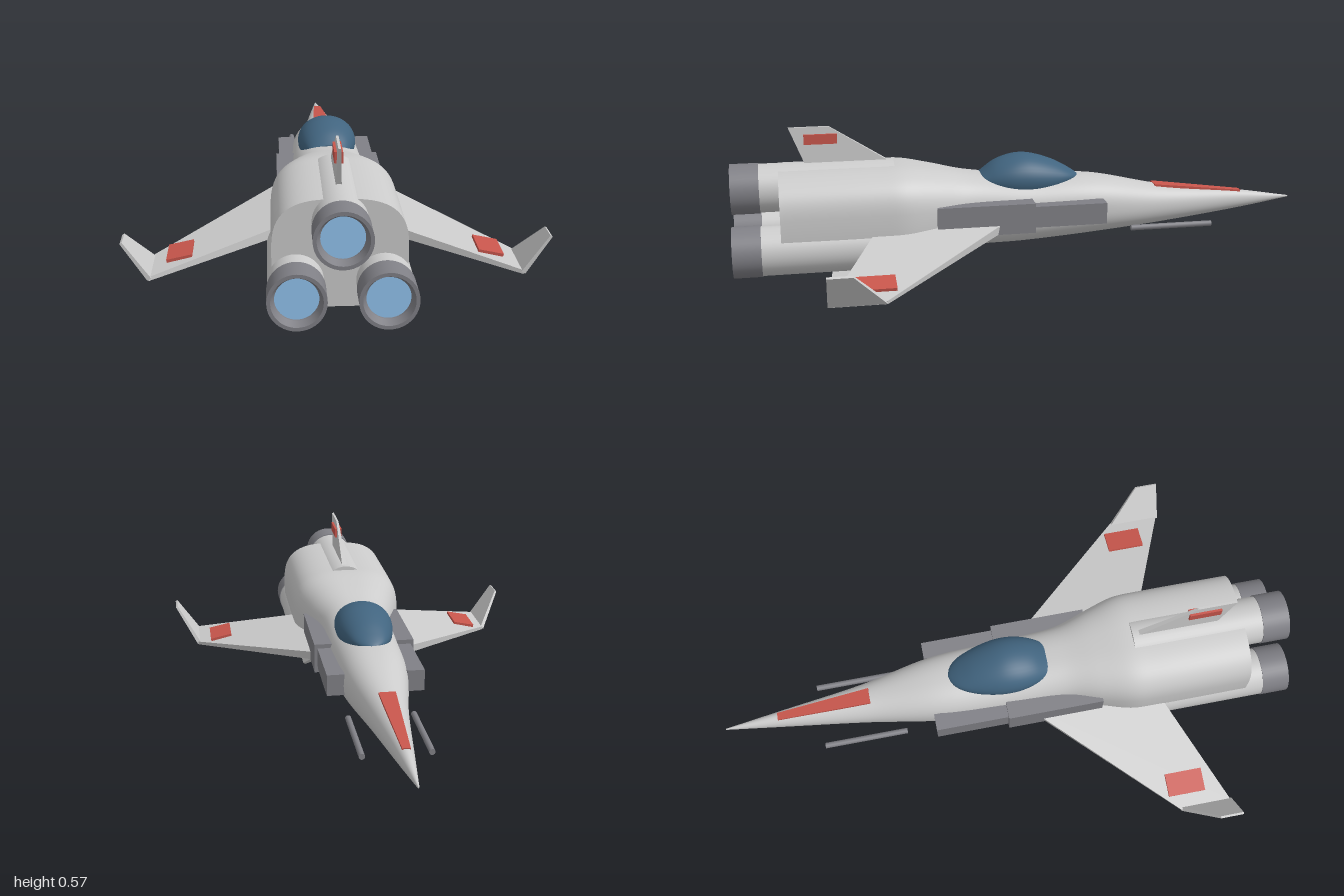
import * as THREE from 'three';
import { ConvexGeometry } from 'three/addons/geometries/ConvexGeometry.js';

const mat = (color) => new THREE.MeshStandardMaterial({ color });
const grey = mat(0xcccccc), dark = mat(0x808086), red = mat(0xc8564c);
const glass = mat(0x41647f), glow = mat(0x92c4f0);

// Loft through sections [z, halfWidth, bottom, top, exponent], nose to tail, smoothed along z
function loft(sections, steps, sides) {
  const curves = [1, 2, 3, 4].map((k) => (z) => {
    let i = 0;
    while (i < sections.length - 2 && z > sections[i + 1][0]) i++;
    const a = sections[i], b = sections[i + 1];
    const slope = (n) => {
      const p = sections[Math.max(n - 1, 0)], q = sections[Math.min(n + 1, sections.length - 1)];
      return (q[k] - p[k]) / (q[0] - p[0]);
    };
    const h = b[0] - a[0], t = (z - a[0]) / h, t2 = t * t, t3 = t2 * t;
    return a[k] * (2 * t3 - 3 * t2 + 1) + slope(i) * h * (t3 - 2 * t2 + t)
      + b[k] * (3 * t2 - 2 * t3) + slope(i + 1) * h * (t3 - t2);
  });
  const pos = [], index = [];
  const z0 = sections[0][0], z1 = sections[sections.length - 1][0];
  const ring = (z) => {
    const [w, lo, hi, n] = curves.map((f) => f(z));
    for (let j = 0; j < sides; j++) {
      const a = (j / sides) * Math.PI * 2, c = Math.cos(a), s = Math.sin(a);
      pos.push(w * Math.sign(c) * Math.abs(c) ** (2 / n),
        (lo + hi) / 2 + ((hi - lo) / 2) * Math.sign(s) * Math.abs(s) ** (2 / n), z);
    }
  };
  for (let i = 0; i <= steps; i++) ring(z0 + ((z1 - z0) * i) / steps);
  for (let i = 0; i < steps; i++) {
    for (let j = 0; j < sides; j++) {
      const k = (j + 1) % sides, a = i * sides + j, b = i * sides + k;
      index.push(a, b, a + sides, b, b + sides, a + sides);
    }
  }
  // Flat tail cap with its own vertices
  const cap = pos.length / 3, last = sections[sections.length - 1];
  ring(z1);
  pos.push(0, (last[2] + last[3]) / 2, z1);
  for (let j = 0; j < sides; j++) index.push(cap + sides, cap + j, cap + ((j + 1) % sides));
  const g = new THREE.BufferGeometry();
  g.setAttribute('position', new THREE.Float32BufferAttribute(pos, 3));
  g.setIndex(index);
  g.computeVertexNormals();
  return g;
}

// Convex plate: corners [x, y, z, halfThickness] thickened along a normal, mirrored by side
function plate(corners, normal, side = 1) {
  const n = new THREE.Vector3(...normal).normalize(), points = [];
  for (const [x, y, z, t] of corners) {
    for (const s of [-1, 1]) {
      const p = new THREE.Vector3(x, y, z).addScaledVector(n, s * t);
      p.x *= side;
      points.push(p);
    }
  }
  return new ConvexGeometry(points);
}

export function createModel() {
  const model = new THREE.Group();
  const add = (name, geometry, material = grey, x = 0, y = 0, z = 0) => {
    const mesh = new THREE.Mesh(geometry, material);
    mesh.name = name;
    mesh.position.set(x, y, z);
    model.add(mesh);
    return mesh;
  };

  // Fuselage and canopy
  add('fuselage', loft([
    [-1, 0.002, 0.232, 0.237, 2], [-0.8, 0.028, 0.202, 0.27, 2], [-0.5, 0.068, 0.168, 0.308, 2.1],
    [-0.25, 0.112, 0.15, 0.358, 2.3], [0, 0.126, 0.135, 0.368, 2.4], [0.2, 0.133, 0.13, 0.39, 2.5],
    [0.32, 0.168, 0.115, 0.415, 2.7], [0.42, 0.196, 0.102, 0.432, 2.9], [0.5, 0.2, 0.1, 0.433, 3],
    [0.84, 0.2, 0.1, 0.433, 3],
  ], 92, 64));
  add('canopy', loft([
    [-0.2, 0.002, 0.358, 0.361, 2], [-0.19, 0.03, 0.347, 0.37, 2], [-0.16, 0.058, 0.33, 0.39, 2],
    [-0.11, 0.08, 0.3, 0.417, 2], [-0.05, 0.095, 0.285, 0.438, 2], [0, 0.1, 0.28, 0.446, 2],
    [0.05, 0.097, 0.285, 0.44, 2], [0.1, 0.084, 0.3, 0.421, 2], [0.148, 0.062, 0.33, 0.385, 2],
  ], 48, 40), glass);

  // Tapered stripe along the nose
  add('noseStripe', plate([
    [-0.013, 0.262, -0.81, 0.009], [0.013, 0.262, -0.81, 0.009],
    [-0.028, 0.304, -0.48, 0.009], [0.028, 0.304, -0.48, 0.009],
  ], [0, 1, -0.12]), red);

  // Three engines: casing, hollow nozzle, glowing exhaust
  const nozzle = new THREE.LatheGeometry([
    [0.083, 0.905], [0.086, 0.905], [0.086, 0.905], [0.086, 1], [0.086, 1],
    [0.075, 1], [0.075, 1], [0.064, 0.975], [0.064, 0.975], [0.064, 0.95],
  ].map(([r, z]) => new THREE.Vector2(r, z)), 40).rotateX(Math.PI / 2);
  const casing = new THREE.CylinderGeometry(0.083, 0.083, 0.47, 40).rotateX(Math.PI / 2);
  for (const [x, y] of [[0, 0.365], [0.13, 0.183], [-0.13, 0.183]]) {
    add('engineCasing', casing, grey, x, y, 0.685);
    add('engineNozzle', nozzle, dark, x, y, 0).material.side = THREE.DoubleSide;
    add('engineGlow', new THREE.CircleGeometry(0.066, 40), glow, x, y, 0.968);
  }

  // Dorsal fin with marking
  add('dorsalFin', plate([
    [0, 0.42, 0.43, 0.01], [0, 0.42, 0.74, 0.01], [0, 0.57, 0.8, 0.004], [0, 0.57, 0.665, 0.004],
  ], [1, 0, 0]));
  add('finMarking', new THREE.BoxGeometry(0.026, 0.034, 0.112), red, 0, 0.528, 0.694);

  for (const s of [1, -1]) {
    // Swept drooping wing and upturned winglet
    add('wing', plate([
      [0.1, 0.238, 0.03, 0.017], [0.1, 0.238, 0.5, 0.017],
      [0.57, 0.14, 0.705, 0.006], [0.57, 0.14, 0.525, 0.006],
    ], [0.2, 1, 0], s));
    add('winglet', plate([
      [0.567, 0.14, 0.525, 0.007], [0.567, 0.14, 0.708, 0.007],
      [0.647, 0.258, 0.71, 0.004], [0.647, 0.258, 0.63, 0.004],
    ], [0.83, -0.56, 0], s));
    const marking = add('wingMarking', new THREE.BoxGeometry(0.08, 0.032, 0.13), red, s * 0.48, 0.16, 0.555);
    marking.rotation.z = -s * 0.21;

    // Splayed ventral fin
    add('ventralFin', plate([
      [0.085, 0.13, 0.36, 0.011], [0.085, 0.13, 0.67, 0.011],
      [0.15, 0.006, 0.688, 0.005], [0.15, 0.006, 0.583, 0.005],
    ], [0.89, 0.46, 0], s));

    // Side pods and gun barrel
    add('rearSidePod', new THREE.BoxGeometry(0.07, 0.104, 0.336), dark, s * 0.142, 0.258, 0.152);
    add('frontSidePod', new THREE.BoxGeometry(0.06, 0.074, 0.26), dark, s * 0.136, 0.258, -0.14);
    add('gunBarrel', new THREE.CylinderGeometry(0.01, 0.01, 0.295, 16).rotateX(Math.PI / 2), dark, s * 0.11, 0.182, -0.52);
  }
  return model;
}
